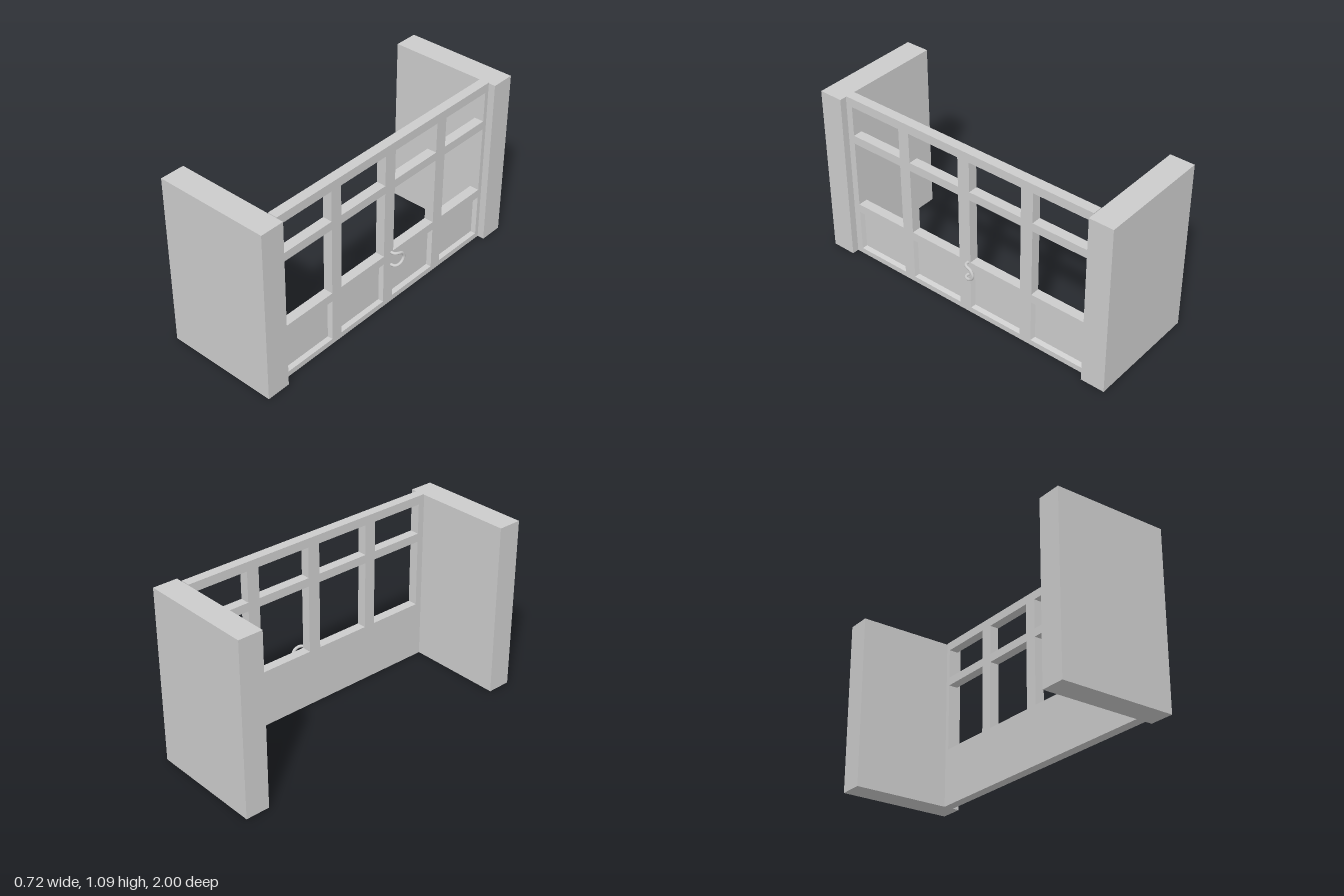
import * as THREE from 'three';

const material = new THREE.MeshStandardMaterial({ color: 0xcccccc, flatShading: true });
const smooth = new THREE.MeshStandardMaterial({ color: 0xcccccc });

const DOOR_BACK = 0.25, DOOR_FRONT = 0.31, HEIGHT = 1.085, HALF = 0.85;
const PANE_WIDTH = 0.35;
const PANE_STARTS = [-0.808, -0.385, 0.044, 0.472]; // measured along -z
const ROWS = { panel: [0.035, 0.305], window: [0.36, 0.787], transom: [0.84, 1.03] };

function addMesh(parent, name, geometry, mat = material) {
  const mesh = new THREE.Mesh(geometry, mat);
  mesh.name = name;
  parent.add(mesh);
  return mesh;
}

// Corners of a rectangle, counter-clockwise seen from +x (u runs along -z)
function corners(x, u0, u1, y0, y1) {
  return [[x, y0, -u0], [x, y0, -u1], [x, y1, -u1], [x, y1, -u0]];
}

// Recessed panel with a sloping border and a flush back
function panelGeometry(u0, u1, y0, y1) {
  const inset = 0.012, depth = 0.025;
  const outer = corners(DOOR_FRONT, u0, u1, y0, y1);
  const inner = corners(DOOR_FRONT - depth, u0 + inset, u1 - inset, y0 + inset, y1 - inset);
  const back = corners(DOOR_BACK, u0, u1, y0, y1).reverse();
  const points = [];
  const quad = (a, b, c, d) => points.push(...a, ...b, ...c, ...a, ...c, ...d);
  for (let i = 0; i < 4; i++) {
    const j = (i + 1) % 4;
    quad(outer[i], outer[j], inner[j], inner[i]);
  }
  quad(...inner);
  quad(...back);
  const geometry = new THREE.BufferGeometry();
  geometry.setAttribute('position', new THREE.Float32BufferAttribute(points, 3));
  geometry.computeVertexNormals();
  return geometry;
}

// Door frame cut by the windows and panel openings
function frameGeometry() {
  const shape = new THREE.Shape([
    new THREE.Vector2(-HALF, 0), new THREE.Vector2(HALF, 0),
    new THREE.Vector2(HALF, HEIGHT), new THREE.Vector2(-HALF, HEIGHT),
  ]);
  for (const u of PANE_STARTS) {
    for (const [y0, y1] of Object.values(ROWS)) {
      shape.holes.push(new THREE.Path([
        new THREE.Vector2(u, y0), new THREE.Vector2(u, y1),
        new THREE.Vector2(u + PANE_WIDTH, y1), new THREE.Vector2(u + PANE_WIDTH, y0),
      ]));
    }
  }
  const geometry = new THREE.ExtrudeGeometry(shape, { depth: DOOR_FRONT - DOOR_BACK, bevelEnabled: false });
  return geometry.rotateY(Math.PI / 2).translate(DOOR_BACK, 0, 0);
}

// Curved pull handle, its two ends meeting the door
function createHandle() {
  const handle = new THREE.Group();
  handle.name = 'handle';
  const half = [[0.308, 0.043, -0.027], [0.33, 0.043, -0.029], [0.343, 0.042, -0.045], [0.347, 0.031, -0.077]];
  const mid = [0.348, 0, -0.092];
  const lower = half.map(([x, y, z]) => [x, -y, z]).reverse();
  const path = [...half, mid, ...lower].map(([x, y, z]) => new THREE.Vector3(x, y + 0.313, z));
  addMesh(handle, 'handleGrip', new THREE.TubeGeometry(new THREE.CatmullRomCurve3(path), 40, 0.009, 10), smooth);
  return handle;
}

export function createModel() {
  const model = new THREE.Group();
  model.name = 'doorBetweenWalls';

  // End walls
  for (const [name, side] of [['frontWall', 1], ['backWall', -1]]) {
    addMesh(model, name, new THREE.BoxGeometry(0.713, 1.08, 0.15)).position.set(-0.0035, 0.54, side * 0.925);
  }

  // Glazed door with solid lower panels
  const door = new THREE.Group();
  door.name = 'door';
  addMesh(door, 'doorFrame', frameGeometry());
  PANE_STARTS.forEach((u, i) => {
    addMesh(door, `lowerPanel${i + 1}`, panelGeometry(u, u + PANE_WIDTH, ...ROWS.panel));
  });
  door.add(createHandle());
  model.add(door);
  return model;
}
